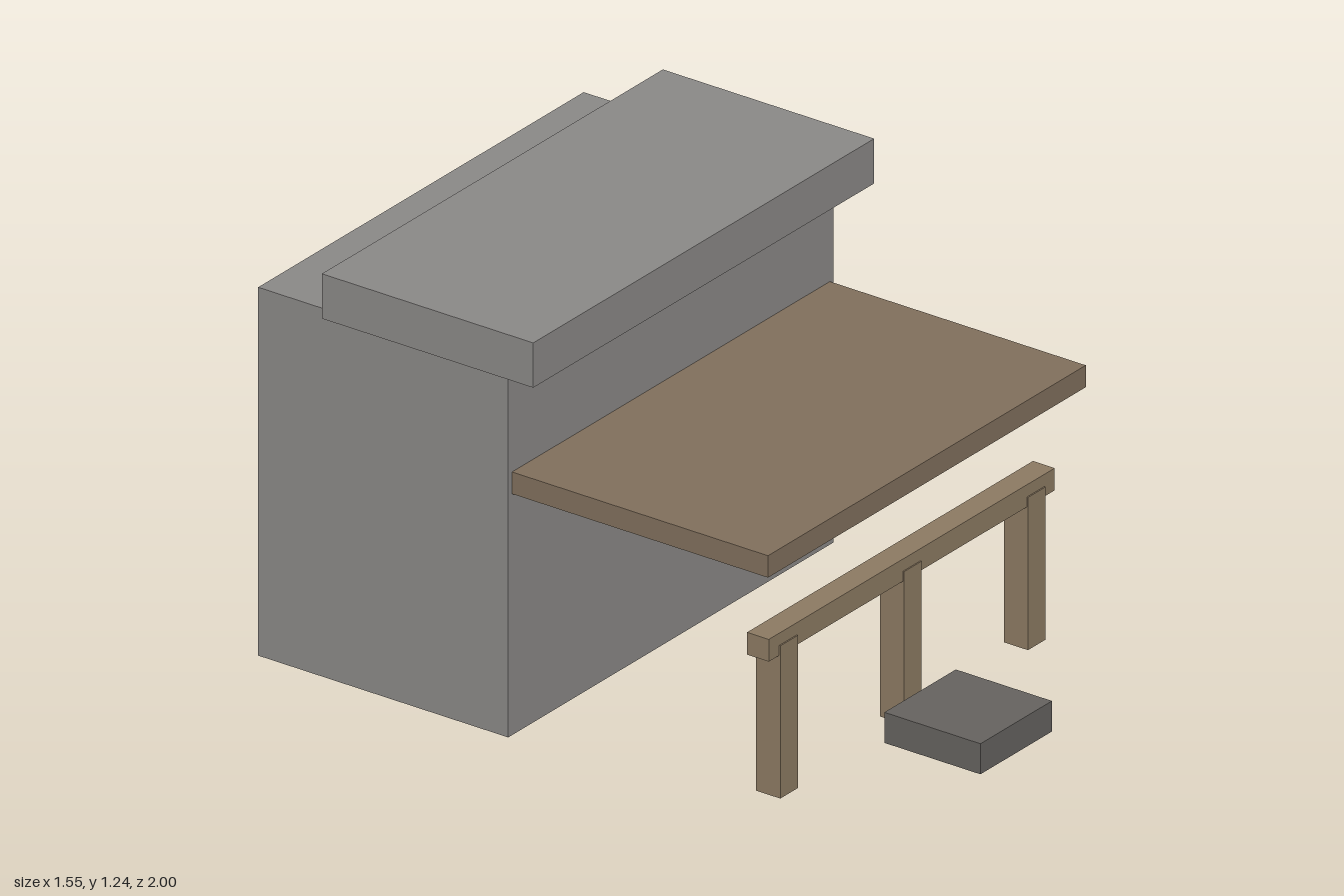
import * as THREE from 'three';

export function createModel() {
  const group = new THREE.Group();
  const material = (color) => new THREE.MeshStandardMaterial({ color });
  const stone = material(0x8a8886);
  const darkStone = material(0x65625f);
  const wood = material(0x8c7a62);
  const canopyWood = material(0x806f5c);

  // Box centred on x, given its lower and upper y and its back and front z
  function addBox(name, mat, width, [y0, y1], [z0, z1], x = 0) {
    const mesh = new THREE.Mesh(new THREE.BoxGeometry(width, y1 - y0, z1 - z0), mat);
    mesh.name = name;
    mesh.position.set(x, (y0 + y1) / 2, (z0 + z1) / 2);
    group.add(mesh);
  }

  // Building with an overhanging roof slab set towards the front
  addBox('building', stone, 1.48, [0, 1.11], [-1, -0.16]);
  addBox('roofSlab', stone, 1.55, [1.1, 1.235], [-0.76, -0.05]);

  // Flat canopy over the front
  addBox('canopy', canopyWood, 1.445, [0.727, 0.793], [-0.165, 0.7]);

  // Railing: three posts carrying a beam
  for (const x of [-0.563, 0, 0.563]) {
    addBox('railPost', wood, 0.08, [0, 0.46], [0.572, 0.653], x);
  }
  addBox('railBeam', wood, 1.3, [0.43, 0.497], [0.576, 0.649]);

  // Step in front of the railing
  addBox('step', darkStone, 0.325, [0, 0.092], [0.677, 1]);

  return group;
}
